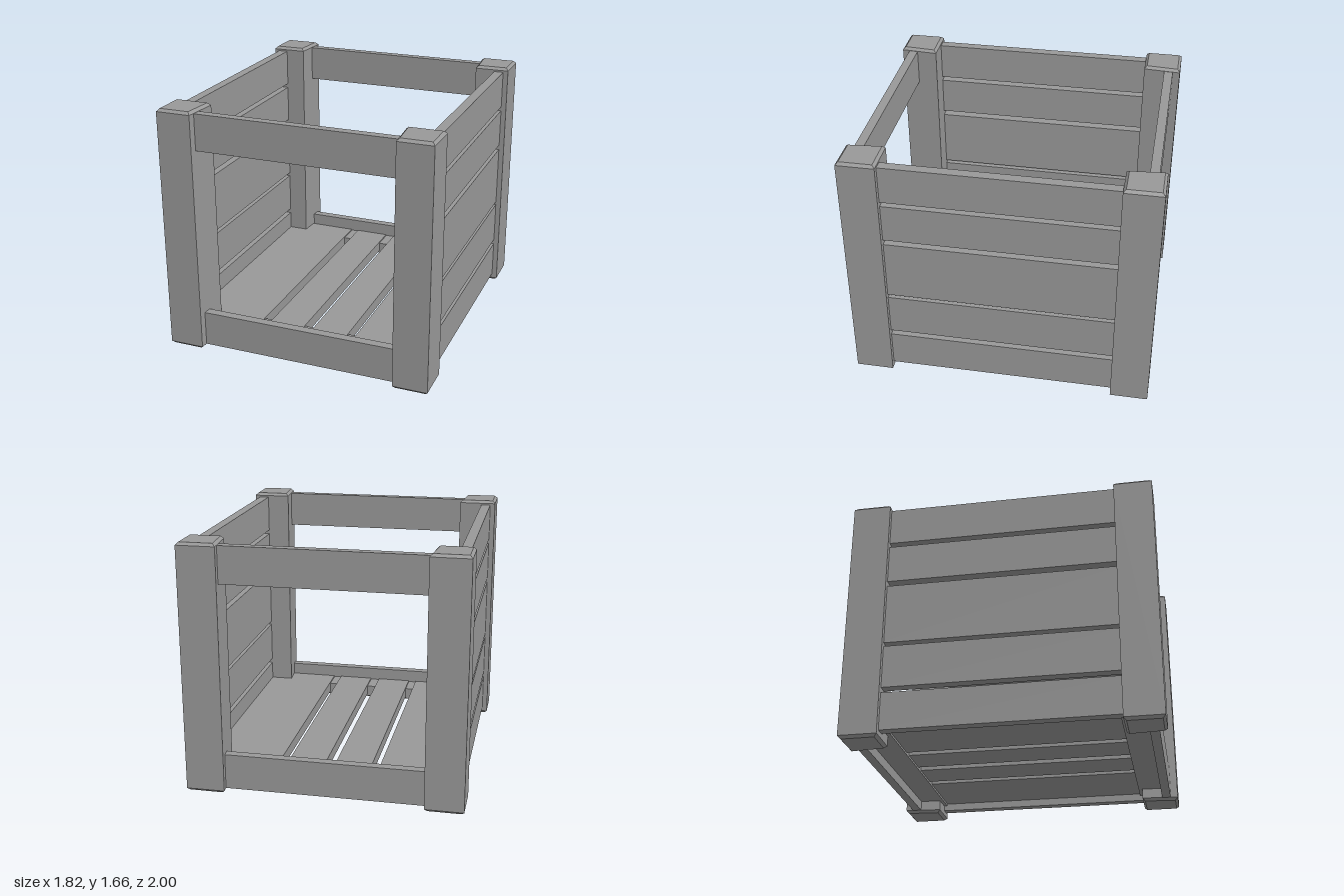
import * as THREE from 'three';

const wood = new THREE.MeshStandardMaterial({ color: 0x999999 });
wood.name = 'plain grey wood';

// Board spanning [min, max] on each axis
function board(name, [x0, x1], [y0, y1], [z0, z1]) {
  const mesh = new THREE.Mesh(new THREE.BoxGeometry(x1 - x0, y1 - y0, z1 - z0), wood);
  mesh.position.set((x0 + x1) / 2, (y0 + y1) / 2, (z0 + z1) / 2);
  mesh.name = name;
  return mesh;
}

// Corner post: slightly tapered footprint with chamfered edges, side = +1 or -1
function post(name, side, zCentre) {
  const bevel = 0.018, height = 1.665;
  const footprint = [[0.892, -0.107], [0.892, 0.107], [0.692, 0.107], [0.674, -0.107]];
  const shape = new THREE.Shape(footprint.map(([x, z]) => new THREE.Vector2(side * x, -z)));
  const geometry = new THREE.ExtrudeGeometry(shape, {
    depth: height - 2 * bevel, bevelEnabled: true,
    bevelThickness: bevel, bevelSize: bevel, bevelSegments: 1,
  });
  geometry.rotateX(-Math.PI / 2);
  geometry.translate(0, bevel, zCentre);
  const mesh = new THREE.Mesh(geometry, wood);
  mesh.name = name;
  return mesh;
}

export function createModel() {
  const crate = new THREE.Group();
  crate.name = 'slattedCrate';

  // Side slats, bottom to top
  const sideSlats = [[0.05, 0.3], [0.335, 0.62], [0.645, 1.055], [1.09, 1.35], [1.38, 1.635]];

  for (const side of [1, -1]) {
    const label = side > 0 ? 'left' : 'right';
    crate.add(post(label + 'FrontPost', side, 0.875));
    crate.add(post(label + 'BackPost', side, -0.875));
    const xSpan = side > 0 ? [0.81, 0.875] : [-0.875, -0.81];
    sideSlats.forEach((span, i) => {
      crate.add(board(`${label}SideSlat${i + 1}`, xSpan, span, [-0.78, 0.78]));
    });
  }

  // Rails and floor battens across the two open ends
  for (const end of [1, -1]) {
    const label = end > 0 ? 'front' : 'back';
    const across = (a, b) => (end > 0 ? [a, b] : [-b, -a]);
    crate.add(board(label + 'TopRail', [-0.7, 0.7], [1.4, 1.645], across(0.89, 0.95)));
    crate.add(board(label + 'BottomRail', [-0.7, 0.7], [0.018, 0.255], across(0.89, 0.95)));
    crate.add(board(label + 'FloorBatten', [-0.8, 0.8], [0.085, 0.165], across(0.725, 0.9)));
  }

  // Floor slats: wide outer pair, narrow inner pair
  [[-0.81, -0.33], [-0.275, -0.035], [0.03, 0.275], [0.33, 0.81]].forEach((span, i) => {
    crate.add(board(`floorSlat${i + 1}`, span, [0.1, 0.175], [-0.88, 0.88]));
  });

  return crate;
}
